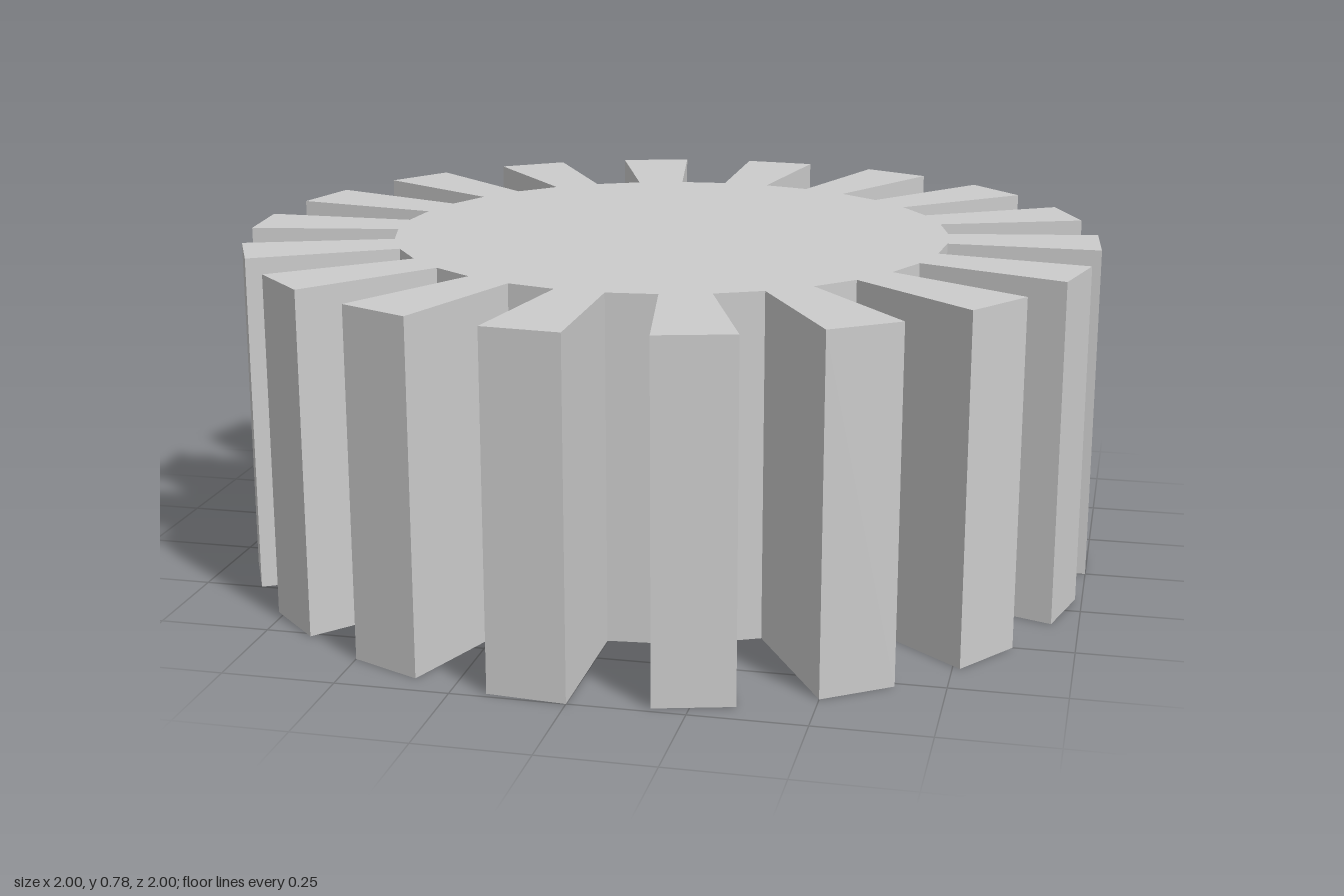
import * as THREE from 'three';

export function createModel() {
  const teeth = 18, outer = 1, inner = 0.65, height = 0.78;
  const step = Math.PI / teeth; // a tooth and a gap are each one step wide

  // Gear outline: each tooth has radial flanks and a flat tip
  const points = [];
  for (let i = 0; i < teeth; i++) {
    const a = 2 * i * step, b = a + step;
    for (const [r, t] of [[inner, a], [outer, a], [outer, b], [inner, b]]) {
      points.push(new THREE.Vector2(r * Math.cos(t), r * Math.sin(t)));
    }
  }

  // Extrude upwards from the ground
  const geometry = new THREE.ExtrudeGeometry(new THREE.Shape(points), { depth: height, bevelEnabled: false });
  geometry.rotateX(-Math.PI / 2);

  const gear = new THREE.Mesh(geometry, new THREE.MeshStandardMaterial({ color: 0xcccccc, flatShading: true }));
  gear.name = 'gearWheel';

  const group = new THREE.Group();
  group.name = 'gear';
  group.add(gear);
  return group;
}
